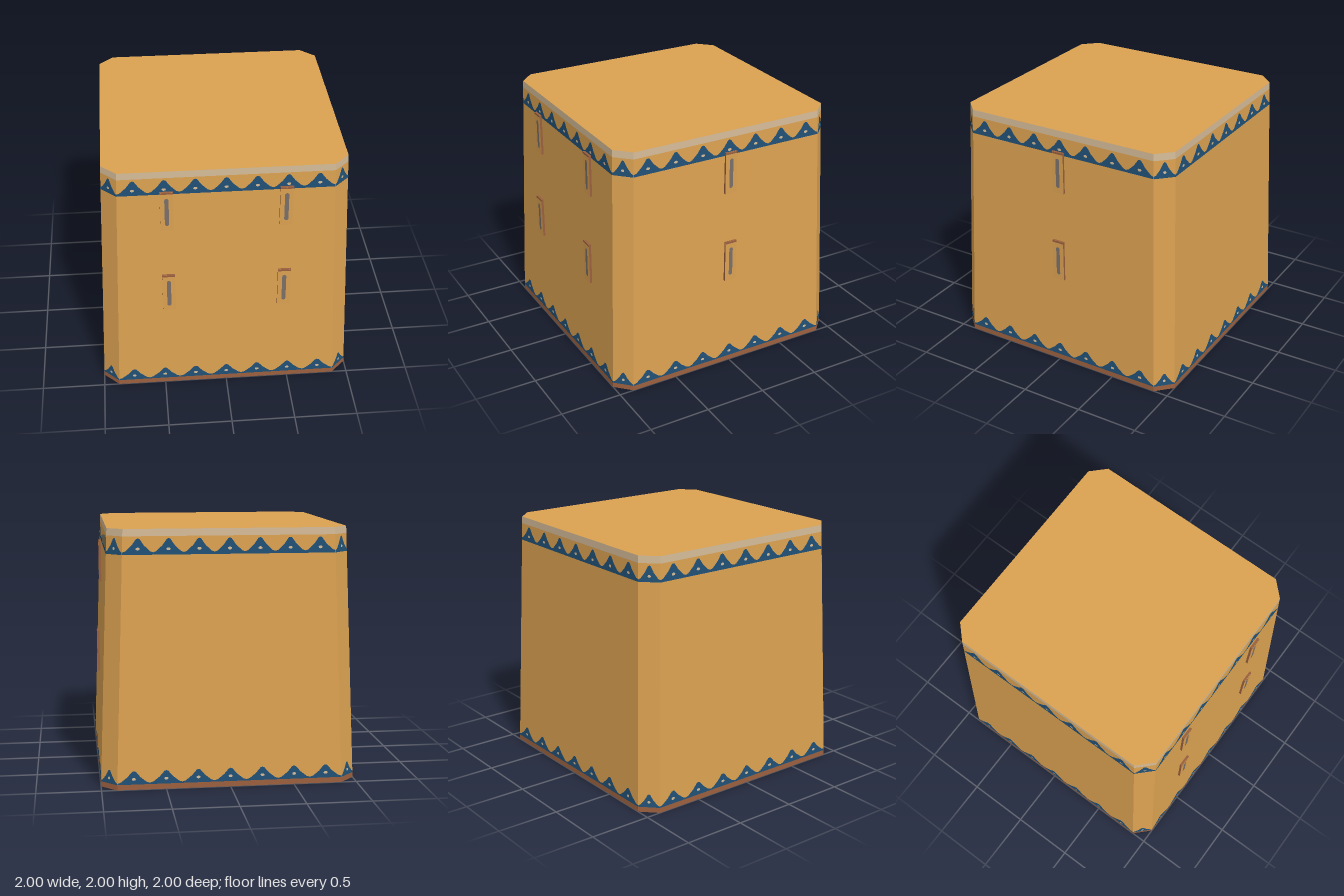
import * as THREE from 'three';
import { mergeGeometries } from 'three/addons/utils/BufferGeometryUtils.js';

const mat = (name, color) => {
  const m = new THREE.MeshStandardMaterial({ color });
  m.name = name;
  return m;
};

// Tapered square tower with cut corners: wall distance and half width at height y
const HEIGHT = 2;
const reach = (y) => 1 - 0.0375 * y;
const halfSide = (y) => 0.88 - 0.035 * y;
const wallAt = (k, y) => (k % 2 === 0
  ? { dist: reach(y), half: halfSide(y) }
  : { dist: (reach(y) + halfSide(y)) / Math.SQRT2, half: (reach(y) - halfSide(y)) / Math.SQRT2 });

// Lays a flat shape (x from -1 to 1 across the wall, y = height) on wall k
function layOnWall(shape, k, offset = 0) {
  const geo = new THREE.ShapeGeometry(shape, 6);
  const p = geo.attributes.position;
  for (let i = 0; i < p.count; i++) {
    const y = p.getY(i);
    const { dist, half } = wallAt(k, y);
    p.setXYZ(i, p.getX(i) * half, y, dist + offset);
  }
  geo.rotateY(k * Math.PI / 4);
  geo.computeVertexNormals();
  return geo;
}

// The same shape rule on all eight walls, as one mesh
function around(name, material, makeShapes, offset = 0) {
  const parts = [];
  for (let k = 0; k < 8; k++) {
    for (const shape of makeShapes(k)) parts.push(layOnWall(shape, k, offset));
  }
  const mesh = new THREE.Mesh(mergeGeometries(parts), material);
  mesh.name = name;
  return mesh;
}

const course = (y0, y1) => () => [new THREE.Shape([
  new THREE.Vector2(-1, y0), new THREE.Vector2(1, y0),
  new THREE.Vector2(1, y1), new THREE.Vector2(-1, y1)])];

const peaksOn = (k) => (k % 2 === 0 ? 7 : 1);

// Strip with a row of softly rounded peaks
const PEAK = [[0, 0], [0.1, 0.08], [0.3, 0.5], [0.44, 0.94], [0.5, 1], [0.56, 0.94], [0.7, 0.5], [0.9, 0.08]];
const zigzag = (base, valley, top) => (k) => {
  const n = peaksOn(k);
  const pts = [new THREE.Vector2(1, base), new THREE.Vector2(1, valley)];
  for (let i = n - 1; i >= 0; i--) {
    for (const [t, h] of PEAK) {
      pts.push(new THREE.Vector2(-1 + 2 * (i + 1 - t) / n, valley + h * (top - valley)));
    }
  }
  pts.push(new THREE.Vector2(-1, valley), new THREE.Vector2(-1, base));
  return [new THREE.Shape(pts)];
};

// One small oval in each peak
const dots = (y) => (k) => {
  const n = peaksOn(k);
  const rx = (n === 1 ? 0.012 : 0.016) / wallAt(k, y).half;
  return Array.from({ length: n }, (_, i) =>
    new THREE.Shape().absellipse(-1 + (2 * i + 1) / n, y, rx, 0.011, 0, Math.PI * 2));
};

// Octagonal floor or roof
function cap(name, material, y, up) {
  const a = reach(y), b = halfSide(y);
  const outline = [[b, a], [a, b], [a, -b], [b, -a], [-b, -a], [-a, -b], [-a, b], [-b, a]];
  const geo = new THREE.ShapeGeometry(new THREE.Shape(outline.map(([x, z]) => new THREE.Vector2(x, z))));
  geo.rotateX(up ? -Math.PI / 2 : Math.PI / 2);
  geo.translate(0, y, 0);
  const mesh = new THREE.Mesh(geo, material);
  mesh.name = name;
  return mesh;
}

export function createModel() {
  const ochre = mat('ochre plaster', 0xdba151);
  const brown = mat('brown clay', 0x9a5f3e);
  const blue = mat('blue paint', 0x215176);
  const cream = mat('pale rim', 0xd4bb97);
  const grey = mat('grey opening', 0x7a706b);

  const tower = new THREE.Group();
  tower.name = 'tower';

  // Walls in three courses, roof and floor
  tower.add(
    around('baseCourse', brown, course(0, 0.042)),
    around('wall', ochre, course(0.042, 1.945)),
    around('rimCourse', cream, course(1.945, HEIGHT)),
    cap('roof', ochre, HEIGHT, true),
    cap('floor', ochre, 0, false));

  // Painted bands
  tower.add(
    around('lowerBand', blue, zigzag(0.042, 0.053, 0.148), 0.002),
    around('upperBand', blue, zigzag(1.806, 1.824, 1.93), 0.002),
    around('lowerDots', cream, dots(0.084), 0.004),
    around('upperDots', cream, dots(1.85), 0.004));

  // Window panel: ochre face with brown edges, a lintel and a rounded slit
  const W = 0.1, H = 0.34, D = 0.018;
  const panelGeo = new THREE.BoxGeometry(W, H, D);
  const lintelGeo = new THREE.PlaneGeometry(W, 0.015);
  const r = 0.016, h = 0.106;
  const slitShape = new THREE.Shape();
  slitShape.absarc(0, h, r, 0, Math.PI);
  slitShape.absarc(0, -h, r, Math.PI, Math.PI * 2);
  const slitGeo = new THREE.ShapeGeometry(slitShape, 8);

  function slitWindow(name, across, y, dist, turn) {
    const win = new THREE.Group();
    win.name = name;
    const panel = new THREE.Mesh(panelGeo, [brown, brown, brown, brown, ochre, brown]);
    panel.name = 'panel';
    panel.position.set(across, y, dist);
    const lintel = new THREE.Mesh(lintelGeo, brown);
    lintel.name = 'lintel';
    lintel.position.set(across, y + H / 2 - 0.0075, dist + D / 2 + 0.001);
    const slit = new THREE.Mesh(slitGeo, grey);
    slit.name = 'slit';
    slit.position.set(across, y - 0.005, dist + D / 2 + 0.001);
    win.add(panel, lintel, slit);
    win.rotation.y = turn;
    tower.add(win);
  }

  // Two rows: a pair on the front, one on the left wall
  for (const [row, y, dist] of [['lower', 0.92, 0.981], ['upper', 1.67, 0.957]]) {
    slitWindow(row + 'FrontWindowRight', -0.45, y, dist, 0);
    slitWindow(row + 'FrontWindowLeft', 0.45, y, dist, 0);
    slitWindow(row + 'SideWindow', 0, y, dist, Math.PI / 2);
  }
  return tower;
}
